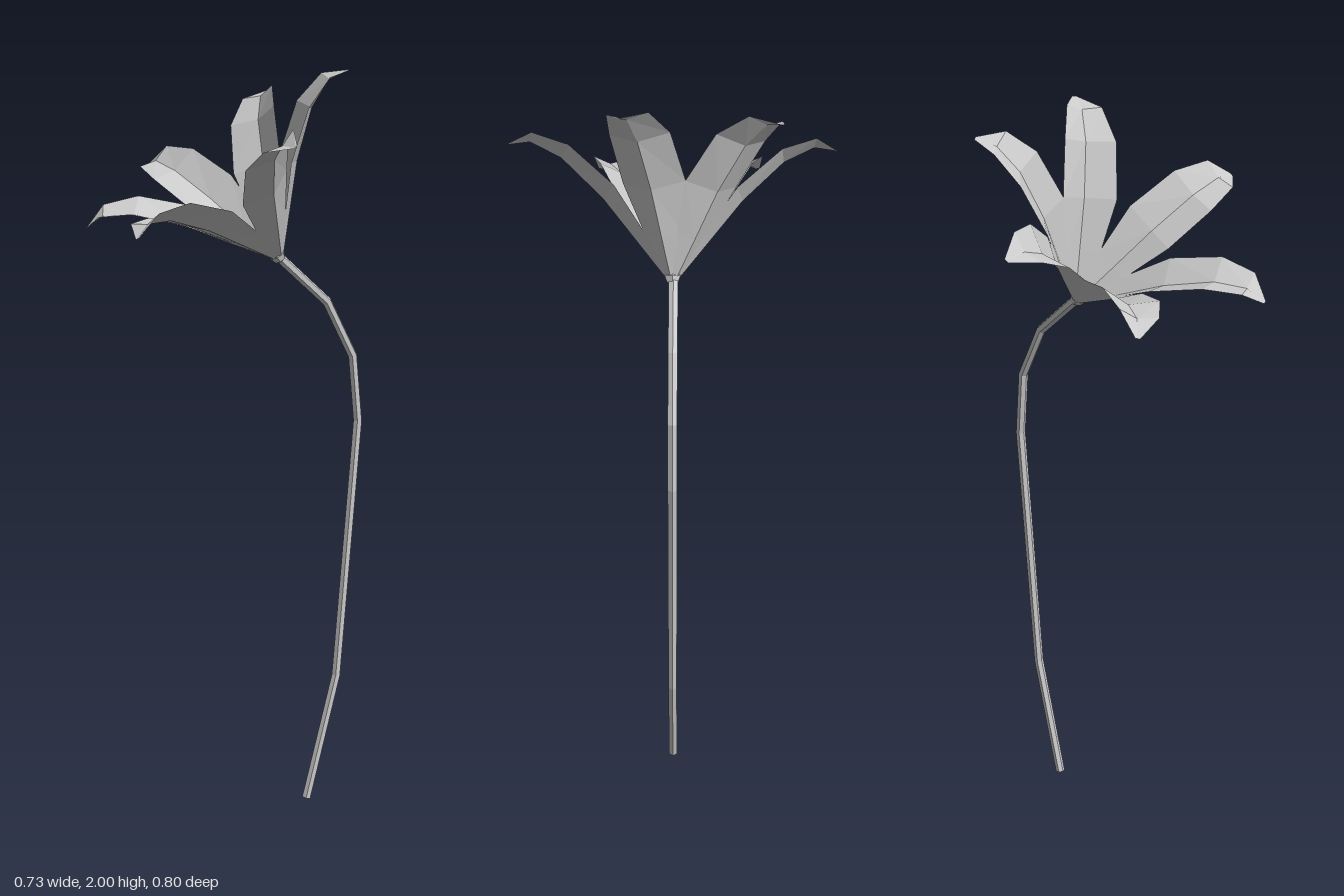
import * as THREE from 'three';

const material = new THREE.MeshStandardMaterial({ color: 0xcccccc, flatShading: true, side: THREE.DoubleSide });

// Joins rows of equal length into a faceted sheet.
function sheet(rows) {
  const n = rows[0].length;
  const index = [];
  for (let i = 0; i < rows.length - 1; i++) {
    for (let j = 0; j < n - 1; j++) {
      const a = i * n + j, b = a + n;
      index.push(a, a + 1, b + 1, a, b + 1, b);
    }
  }
  const geometry = new THREE.BufferGeometry();
  geometry.setAttribute('position', new THREE.Float32BufferAttribute(rows.flat(2), 3));
  geometry.setIndex(index);
  geometry.computeVertexNormals();
  return geometry;
}

// Cupped petal growing along +x and +y: [out, up, half width, edge lift] per row.
function petalGeometry() {
  const profile = [
    [0.008, 0, 0.012, 0.006],
    [0.085, 0.095, 0.048, 0.022],
    [0.17, 0.2, 0.077, 0.032],
    [0.27, 0.295, 0.073, 0.026],
    [0.345, 0.332, 0.05, 0.015],
    [0.4, 0.325, 0.006, 0],
  ];
  const rows = profile.map(([x, y, w, lift], i) => {
    const p = profile[Math.max(i - 1, 0)];
    const q = profile[Math.min(i + 1, profile.length - 1)];
    const t = new THREE.Vector2(q[0] - p[0], q[1] - p[1]).normalize();
    return [-1, 0, 1].map((s) => [x - t.y * lift * s * s, y + t.x * lift * s * s, s * w]);
  });
  return sheet(rows);
}

// Six-sided stem with mitred bends along a path in the xy plane.
function stemGeometry(path, radius) {
  const points = path.map(([x, y]) => new THREE.Vector2(x, y));
  const rows = points.map((p, i) => {
    const t = points[Math.min(i + 1, points.length - 1)].clone()
      .sub(points[Math.max(i - 1, 0)]).normalize();
    return Array.from({ length: 7 }, (_, k) => {
      const a = (k / 6) * Math.PI * 2;
      const side = radius * Math.cos(a);
      return [p.x + t.y * side, p.y - t.x * side, radius * Math.sin(a)];
    });
  });
  // close both ends
  const cap = (p) => Array.from({ length: 7 }, () => [p.x, p.y, 0]);
  return sheet([cap(points[0]), ...rows, cap(points[points.length - 1])]);
}

export function createModel() {
  const model = new THREE.Group();
  model.name = 'flower';

  // Stem
  const path = [[0.2, 0], [0.29, 0.35], [0.348, 1.07], [0.33, 1.25], [0.25, 1.4], [0.11, 1.52]];
  const stem = new THREE.Mesh(stemGeometry(path, 0.013), material);
  stem.name = 'stem';
  stem.position.z = -0.012;
  model.add(stem);

  // Blossom, leaning to one side
  const blossom = new THREE.Group();
  blossom.name = 'blossom';
  blossom.position.set(0.11, 1.515, -0.01);
  blossom.rotation.z = THREE.MathUtils.degToRad(34);
  model.add(blossom);

  const geometry = petalGeometry();
  [17, 85, 151, 213, 264, 322].forEach((angle, i) => {
    const petal = new THREE.Mesh(geometry, material);
    petal.name = `petal${i + 1}`;
    petal.rotation.y = -THREE.MathUtils.degToRad(angle);
    blossom.add(petal);
  });

  // Small faceted heart between the petals
  const heart = new THREE.Mesh(new THREE.SphereGeometry(0.022, 6, 4), material);
  heart.name = 'heart';
  heart.position.y = 0.015;
  blossom.add(heart);

  return model;
}
